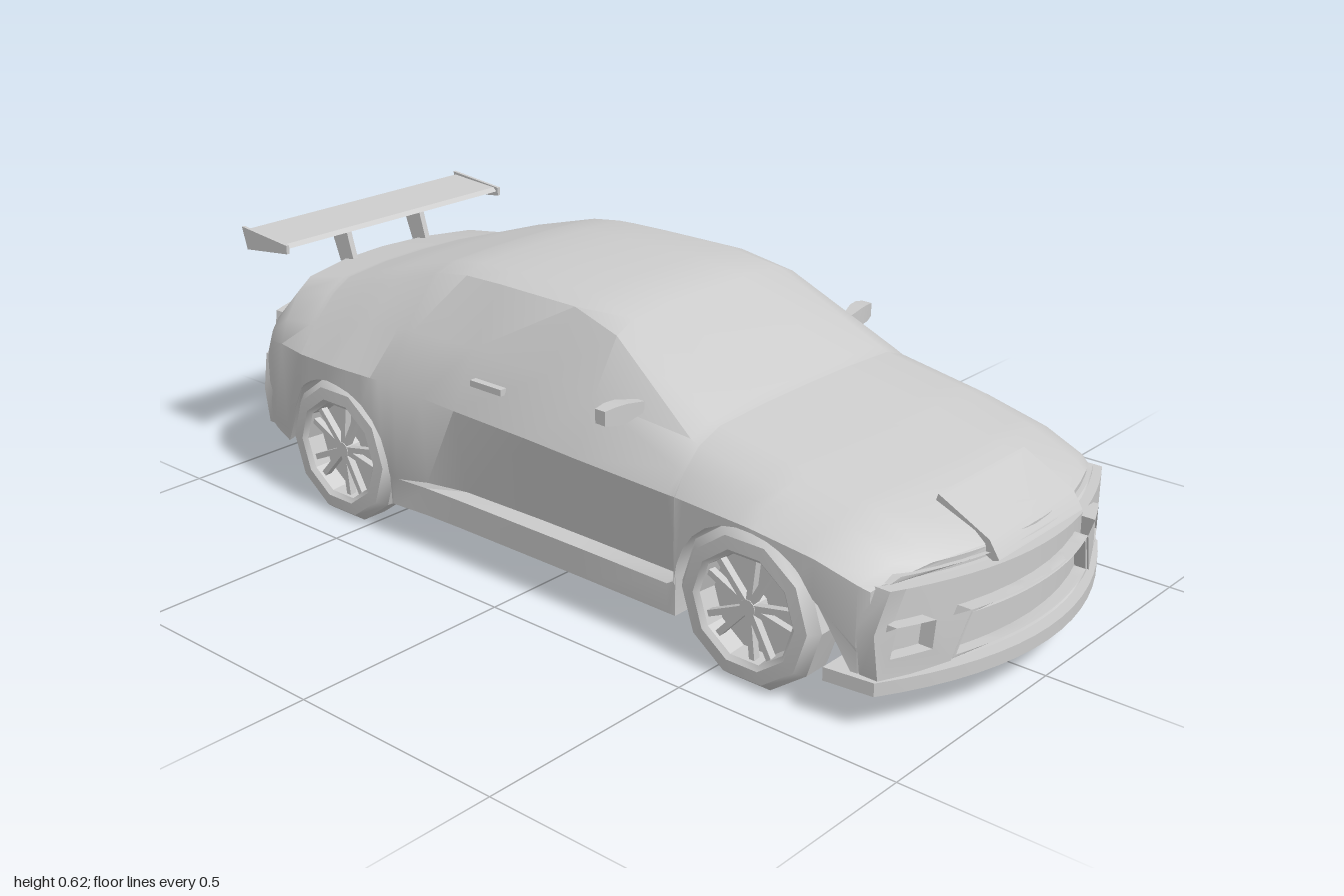
import * as THREE from 'three';
import { toCreasedNormals } from 'three/addons/utils/BufferGeometryUtils.js';

const MAT = new THREE.MeshStandardMaterial({ color: 0xcccccc, side: THREE.DoubleSide });
const WHEEL_Z = [0.585, -0.58], ARCH_Y = 0.155, ARCH_R = 0.174;

function part(parent, name, geo, crease = 0.6) {
  const mesh = new THREE.Mesh(toCreasedNormals(geo.index ? geo.toNonIndexed() : geo, crease), MAT);
  mesh.name = name;
  parent.add(mesh);
  return mesh;
}

// Body stations: z, top, edge drop, roof half width, shoulder y, half width, bottom, end bend, door tuck
const STATIONS = [
  [0.955, 0.315, 0.02, 0.33, 0.275, 0.385, 0.09, 0.12, 0],
  [0.93, 0.335, 0.02, 0.33, 0.285, 0.395, 0.085, 0.11, 0],
  [0.8, 0.385, 0.03, 0.33, 0.315, 0.41, 0.085, 0.06, 0],
  [0.62, 0.42, 0.03, 0.34, 0.337, 0.422, 0.085, 0.02, 0],
  [0.41, 0.453, 0.03, 0.34, 0.34, 0.412, 0.085, 0, 0],
  [0.39, 0.462, 0.03, 0.34, 0.34, 0.412, 0.085, 0, 0.035],
  [0.15, 0.6, 0.03, 0.285, 0.345, 0.41, 0.085, 0, 0.035],
  [0.02, 0.62, 0.022, 0.268, 0.35, 0.41, 0.085, 0, 0.035],
  [-0.2, 0.62, 0.022, 0.265, 0.355, 0.41, 0.085, 0, 0.03],
  [-0.3, 0.618, 0.022, 0.265, 0.36, 0.412, 0.085, 0, 0.01],
  [-0.38, 0.607, 0.022, 0.267, 0.37, 0.418, 0.085, 0, 0],
  [-0.58, 0.555, 0.03, 0.28, 0.37, 0.427, 0.085, 0.02, 0],
  [-0.74, 0.505, 0.03, 0.295, 0.365, 0.415, 0.1, 0.05, 0],
  [-0.88, 0.485, 0.03, 0.31, 0.36, 0.39, 0.12, 0.1, 0],
  [-0.95, 0.41, 0.02, 0.33, 0.35, 0.375, 0.13, 0.12, 0],
  [-0.972, 0.35, 0.02, 0.34, 0.3, 0.365, 0.135, 0.12, 0],
];

function stationAt(z) {
  const i = Math.max(1, STATIONS.findIndex((s) => s[0] <= z));
  const a = STATIONS[i - 1], b = STATIONS[i], t = (a[0] - z) / (a[0] - b[0]);
  return a.map((v, n) => v + (b[n] - v) * t);
}

const bentZ = (z, k, x) => z - Math.sign(z) * k * (x / 0.41) ** 2;

// Half cross-section from floor centre to roof centre, with the wheel arch cut into the side
function halfSection([z, top, drop, wr, ys, w, b, k, tuck]) {
  let arch = b;
  for (const c of WHEEL_Z) {
    const d = bentZ(z, k, w) - c;
    if (Math.abs(d) < ARCH_R) {
      const h = ARCH_Y + Math.sqrt(ARCH_R ** 2 - d * d);
      if (h > ARCH_Y + 0.01) arch = Math.max(b, h);
    }
  }
  const shoulder = Math.max(ys, arch + 0.005), edge = top - drop, well = 0.285;
  return [
    [0, b], [well / 2, b], [well, b], [well, arch], [w - 0.005, arch],
    [w - 0.003, Math.max(0.15, arch)], [w - tuck, Math.max(0.16, arch)], [w, shoulder],
    [(w + wr) / 2 + 0.008, (shoulder + edge) / 2], [wr, edge],
    [wr * 0.82, top - drop * 0.25], [wr * 0.4, top - drop * 0.04], [0, top],
  ].map(([x, y]) => new THREE.Vector3(x, y, bentZ(z, k, x)));
}

function bodyGeometry() {
  // Extra stations give the arches a round edge
  let zs = STATIONS.map((s) => s[0]);
  for (const c of WHEEL_Z) {
    for (let i = 0; i <= 12; i++) zs.push(c + Math.cos((i / 12) * Math.PI) * (ARCH_R - 0.001));
    zs.push(c + ARCH_R + 0.004, c - ARCH_R - 0.004);
  }
  zs.sort((a, b) => b - a);
  zs = zs.filter((z, i) => i === 0 || zs[i - 1] - z > 0.002);
  const flip = (p) => new THREE.Vector3(-p.x, p.y, p.z);
  const halves = zs.map((z) => halfSection(stationAt(z)));
  const rings = halves.map((h) => [...h, ...h.slice(0, -1).reverse().map(flip)]);
  const pos = [];
  const quad = (a, b, c, d) => [a, b, c, a, c, d].forEach((p) => pos.push(p.x, p.y, p.z));
  for (let i = 0; i < rings.length - 1; i++) {
    for (let j = 0; j < rings[i].length - 1; j++) {
      quad(rings[i][j], rings[i + 1][j], rings[i + 1][j + 1], rings[i][j + 1]);
    }
  }
  // Curved nose and tail
  const N = 12;
  for (const [half, s] of [[halves[0], STATIONS[0]], [halves.at(-1), STATIONS.at(-1)]]) {
    const at = (j, i) => {
      const x = half[j].x * ((2 * i) / N - 1);
      return new THREE.Vector3(x, half[j].y, bentZ(s[0], s[7], x));
    };
    for (let j = 4; j < half.length - 1; j++) {
      for (let i = 0; i < N; i++) {
        const q = [at(j, i), at(j, i + 1), at(j + 1, i + 1), at(j + 1, i)];
        quad(...(s[0] > 0 ? q : q.reverse()));
      }
    }
  }
  return new THREE.BufferGeometry().setAttribute('position', new THREE.Float32BufferAttribute(pos, 3));
}

// Closed outline with long edges split so it can be bent
function outline(corners) {
  const pts = [];
  corners.forEach(([x, y], i) => {
    const [u, v] = corners[(i + 1) % corners.length];
    const n = Math.max(1, Math.ceil(Math.abs(u - x) / 0.04));
    for (let s = 0; s < n; s++) pts.push(new THREE.Vector2(x + ((u - x) * s) / n, y + ((v - y) * s) / n));
  });
  return pts;
}

// Plate that follows the curve of the nose or tail
function bentPlate(corners, holes, z, depth, k = 0.12) {
  const shape = new THREE.Shape(outline(corners));
  shape.holes = holes.map((h) => new THREE.Path(outline(h)));
  const geo = new THREE.ExtrudeGeometry(shape, { depth, bevelEnabled: false });
  const p = geo.attributes.position;
  for (let i = 0; i < p.count; i++) p.setZ(i, p.getZ(i) + z - Math.sign(z) * k * (p.getX(i) / 0.41) ** 2);
  return geo;
}

function wheel(side, z) {
  const g = new THREE.Group();
  g.name = 'wheel';
  const profile = [[0, 0], [0.125, 0], [0.16, 0.012], [0.168, 0.03], [0.168, 0.09], [0.15, 0.112],
    [0.122, 0.114], [0.112, 0.105], [0.108, 0.065], [0, 0.065]];
  part(g, 'tyreAndRim', new THREE.LatheGeometry(profile.map(([r, h]) => new THREE.Vector2(r, h)), 10), 0.5);
  part(g, 'hub', new THREE.CylinderGeometry(0.018, 0.024, 0.035, 10).translate(0, 0.082, 0));
  for (let i = 0; i < 10; i++) {
    const a = Math.floor(i / 2) * ((Math.PI * 2) / 5) + (i % 2 ? 0.2 : -0.2);
    part(g, 'spoke', new THREE.BoxGeometry(0.013, 0.016, 0.1).translate(0, 0.09, 0.061).rotateY(a));
  }
  g.rotation.z = (-side * Math.PI) / 2;
  g.position.set(side * 0.304, 0.16, z);
  return g;
}

export function createModel() {
  const car = new THREE.Group();
  car.name = 'car';
  part(car, 'body', bodyGeometry(), 0.6);

  // Front bumper with grille and lamp openings
  const mirrorX = (pts) => pts.map(([x, y]) => [-x, y]).reverse();
  const lamp = [[0.29, 0.15], [0.37, 0.147], [0.36, 0.208], [0.285, 0.208]];
  const mouth = [[-0.25, 0.115], [0.25, 0.115], [0.21, 0.208], [-0.21, 0.208]];
  const mouthInner = [[-0.235, 0.122], [0.235, 0.122], [0.203, 0.2], [-0.203, 0.2]];
  part(car, 'frontBumper', bentPlate([[-0.39, 0.1], [0.39, 0.1], [0.4, 0.2], [0.375, 0.284], [-0.375, 0.284], [-0.4, 0.2]],
    [mouth, lamp, mirrorX(lamp)], 0.945, 0.04));
  part(car, 'grilleFrame', bentPlate(mouth, [mouthInner], 0.955, 0.026));
  part(car, 'headlampStrip', bentPlate([[-0.36, 0.288], [0.36, 0.288], [0.34, 0.3], [-0.34, 0.3]], [], 0.945, 0.02));

  // Chin splitter
  const plan = [];
  for (let i = -8; i <= 8; i++) plan.push(new THREE.Vector2(i * 0.05, 1 - 0.13 * ((i * 0.05) / 0.41) ** 2));
  plan.push(new THREE.Vector2(0.412, 0.77), new THREE.Vector2(-0.412, 0.77));
  part(car, 'chinSplitter', new THREE.ExtrudeGeometry(new THREE.Shape(plan), { depth: 0.028, bevelEnabled: false })
    .rotateX(Math.PI / 2).translate(0, 0.107, 0));

  // Bonnet scoop
  const scoop = new THREE.Shape([[0.82, 0.35], [0.955, 0.285], [0.968, 0.29], [0.945, 0.325], [0.83, 0.383]]
    .map(([z, y]) => new THREE.Vector2(-z, y)));
  part(car, 'bonnetScoop', new THREE.ExtrudeGeometry(scoop, { depth: 0.3, bevelEnabled: false })
    .rotateY(Math.PI / 2).translate(-0.15, 0, 0));

  // Rear bumper, tail panel and plate
  part(car, 'rearBumper', bentPlate([[-0.355, 0.13], [0.355, 0.13], [0.37, 0.22], [0.35, 0.3], [-0.35, 0.3], [-0.37, 0.22]],
    [[[-0.2, 0.225], [0.2, 0.225], [0.18, 0.285], [-0.18, 0.285]]], -0.99, 0.03));
  part(car, 'tailLampStrip', bentPlate([[-0.33, 0.355], [0.33, 0.355], [0.32, 0.4], [-0.32, 0.4]], [], -0.965, 0.03));
  part(car, 'rearLedge', new THREE.BoxGeometry(0.3, 0.012, 0.03).translate(0, 0.25, -0.985));

  // Rear wing
  const foil = new THREE.Shape([[0.82, 0.565], [0.9, 0.552], [0.965, 0.575], [0.968, 0.583], [0.83, 0.574]]
    .map(([z, y]) => new THREE.Vector2(z, y)));
  part(car, 'wing', new THREE.ExtrudeGeometry(foil, { depth: 0.66, bevelEnabled: false })
    .rotateY(Math.PI / 2).scale(1, 1, 1).translate(-0.33, 0, 0));

  for (const side of [1, -1]) {
    const plate = new THREE.Shape([[0.815, 0.555], [0.96, 0.538], [0.975, 0.59], [0.815, 0.575]]
      .map(([z, y]) => new THREE.Vector2(z, y)));
    part(car, 'wingEndPlate', new THREE.ExtrudeGeometry(plate, { depth: 0.008, bevelEnabled: false })
      .rotateY(Math.PI / 2).translate(side * 0.334 - 0.004, 0, 0));
    const strut = new THREE.Shape([[0.84, 0.475], [0.89, 0.475], [0.925, 0.565], [0.865, 0.56]]
      .map(([z, y]) => new THREE.Vector2(z, y)));
    part(car, 'wingStrut', new THREE.ExtrudeGeometry(strut, { depth: 0.014, bevelEnabled: false })
      .rotateY(Math.PI / 2).translate(side * 0.115 - 0.007, 0, 0));

    // Door mirror, tapering to the door
    const mirror = new THREE.BoxGeometry(0.1, 0.04, 0.034, 4, 2, 2);
    const p = mirror.attributes.position;
    for (let i = 0; i < p.count; i++) {
      const t = p.getX(i) / 0.05;
      const f = t < 0 ? 1 + t * 0.45 : 1 - 0.25 * t ** 4;
      p.setXYZ(i, p.getX(i) * side, p.getY(i) * f, p.getZ(i) * f - t * 0.008);
    }
    part(car, 'doorMirror', mirror, 1).position.set(side * 0.387, 0.466, 0.252);

    part(car, 'doorHandle', new THREE.BoxGeometry(0.016, 0.014, 0.09)).position.set(side * 0.382, 0.42, -0.122);
    part(car, 'exhaust', new THREE.LatheGeometry([[0.022, 0], [0.028, 0], [0.03, 0.06], [0.024, 0.06], [0.02, 0.01], [0, 0.01]]
      .map(([r, h]) => new THREE.Vector2(r, h)), 10).rotateX(-Math.PI / 2)).position.set(side * 0.21, 0.17, -0.935);

    for (const z of WHEEL_Z) car.add(wheel(side, z));
  }
  // Wing profiles are drawn with z measured towards the rear, matching the quarter turn
  return car;
}
